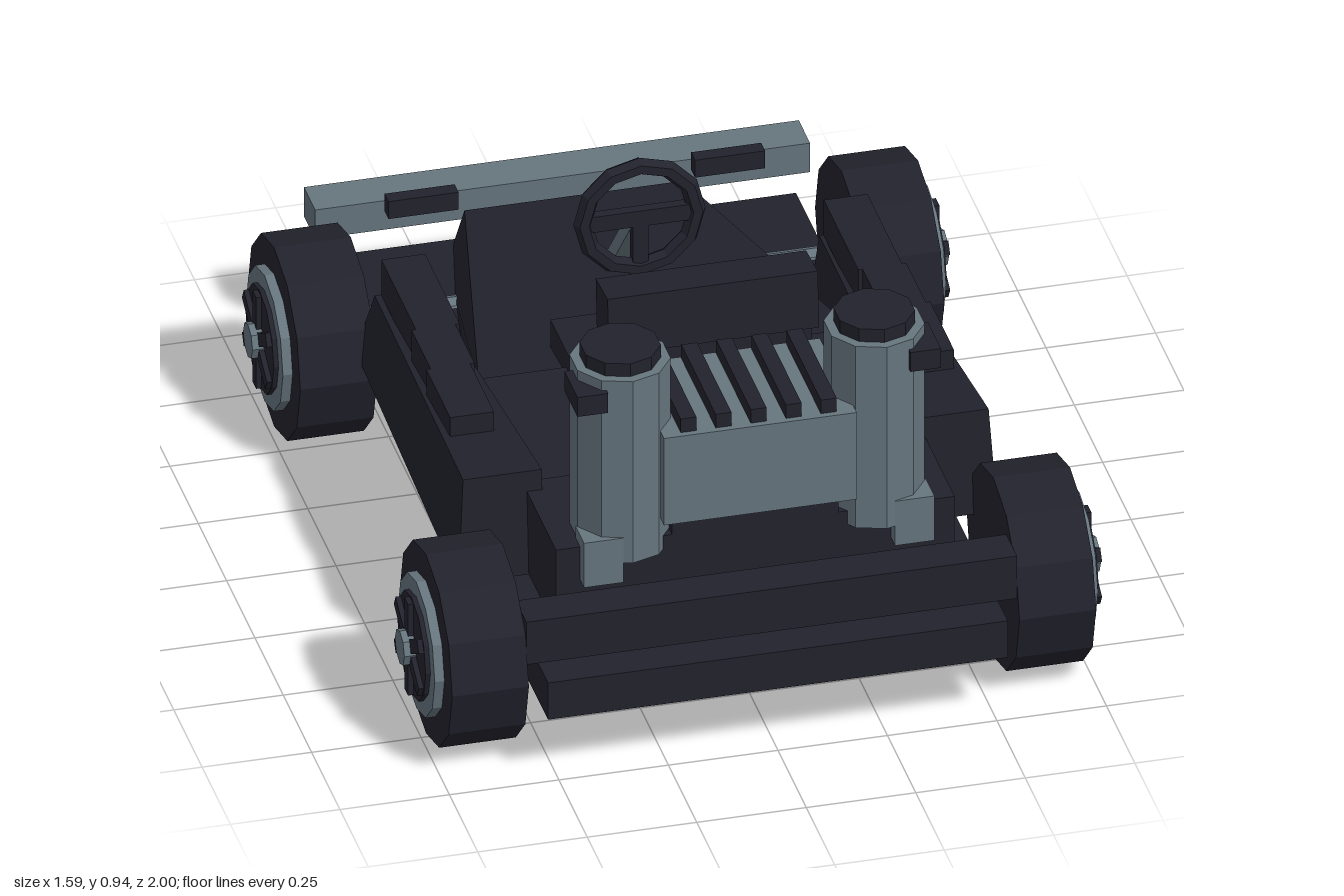
import * as THREE from 'three';

const dark = new THREE.MeshStandardMaterial({ color: 0x22222d, flatShading: true });
dark.name = 'charcoal';
const grey = new THREE.MeshStandardMaterial({ color: 0x66757e, flatShading: true });
grey.name = 'steel grey';

export function createModel() {
  const kart = new THREE.Group();
  kart.name = 'kart';

  const add = (name, geo, mat, parent = kart) => {
    const m = new THREE.Mesh(geo, mat);
    m.name = name;
    parent.add(m);
    return m;
  };
  // Box given by its limits on each axis
  const box = (name, mat, x0, x1, y0, y1, z0, z1, parent = kart) => {
    const m = add(name, new THREE.BoxGeometry(Math.abs(x1 - x0), y1 - y0, z1 - z0), mat, parent);
    m.position.set((x0 + x1) / 2, (y0 + y1) / 2, (z0 + z1) / 2);
    return m;
  };
  // Box whose eight corners are placed by a rule on their signs
  const shaped = (name, mat, rule) => {
    const geo = new THREE.BoxGeometry(2, 2, 2);
    const p = geo.attributes.position;
    for (let i = 0; i < p.count; i++) p.setXYZ(i, ...rule(p.getX(i), p.getY(i), p.getZ(i)));
    geo.computeVertexNormals();
    return add(name, geo, mat);
  };
  // Cylinder lying along x
  const axial = (name, mat, r, x0, x1, sides, parent) => {
    const m = add(name, new THREE.CylinderGeometry(r, r, Math.abs(x1 - x0), sides), mat, parent);
    m.rotation.z = Math.PI / 2;
    m.position.x = (x0 + x1) / 2;
    return m;
  };

  // Chassis and body
  box('floorPlate', dark, -0.525, 0.525, 0.16, 0.255, -0.87, 1);
  box('bumper', dark, -0.56, 0.56, 0.275, 0.385, 0.85, 0.945);
  box('bumperMount', dark, -0.455, 0.455, 0.265, 0.3, 0.78, 0.9);
  box('engineDeck', dark, -0.455, 0.455, 0.265, 0.47, 0.5, 0.8);
  box('cockpitDeck', dark, -0.43, 0.43, 0.265, 0.46, 0.04, 0.52);
  box('engineMount', dark, -0.19, 0.19, 0.46, 0.53, 0.52, 0.8);
  shaped('nose', dark, (x, y, z) => {
    if (z > 0) return [x * 0.43, y > 0 ? 0.44 : 0.18, 0.02];
    return y > 0 ? [x * 0.25, 0.37, -0.8] : [x * 0.27, 0.18, -0.885];
  });

  // Seat
  box('seatCushion', dark, -0.235, 0.235, 0.42, 0.5, -0.1, 0.44);
  shaped('seatBack', dark, (x, y, z) => [x * 0.225, y > 0 ? 0.85 : 0.46, (y > 0 ? 0.375 : 0.41) + z * 0.04]);
  const headrest = box('headrest', dark, -0.24, 0.24, 0.72, 0.86, 0.325, 0.43);
  headrest.rotation.x = -0.08;
  const pad = box('seatPad', dark, -0.15, 0.15, 0.58, 0.69, 0.343, 0.355);
  pad.rotation.x = -0.09;

  // Steering wheel and column
  const steering = new THREE.Group();
  steering.name = 'steeringWheel';
  steering.position.set(0, 0.66, -0.222);
  kart.add(steering);
  add('steeringRim', new THREE.TorusGeometry(0.13, 0.021, 6, 12), dark, steering);
  box('steeringSpoke', dark, -0.12, 0.12, -0.02, 0.02, -0.012, 0.012, steering);
  box('steeringLowerSpoke', dark, -0.018, 0.018, -0.12, 0, -0.012, 0.012, steering);
  const column = add('steeringColumn', new THREE.BoxGeometry(0.04, 0.36, 0.035), grey);
  column.position.set(0, 0.52, -0.345);
  column.rotation.x = Math.atan2(0.24, 0.27);

  // Engine block with cooling fins
  box('engineBlock', grey, -0.22, 0.22, 0.525, 0.75, 0.52, 0.845);
  for (let i = -2; i <= 2; i++) {
    box('coolingFin', dark, i * 0.08 - 0.018, i * 0.08 + 0.018, 0.745, 0.785, 0.525, 0.83);
  }

  // Push bar across the nose end
  box('noseBar', grey, -0.565, 0.565, 0.285, 0.36, -1, -0.9);

  for (const s of [1, -1]) {
    // Side pods with stepped pads
    shaped('sidePod', dark, (x, y, z) => {
      const outer = x === s;
      const top = y > 0;
      if (z > 0) return [s * (outer ? (top ? 0.6 : 0.615) : 0.42), top ? 0.52 : 0.265, top ? 0.54 : 0.56];
      return [s * (outer ? (top ? 0.565 : 0.59) : 0.45), top ? 0.45 : 0.265, top ? -0.375 : -0.45];
    });
    [[0.12, 0.33, 0.525], [-0.05, 0.12, 0.515], [-0.355, -0.05, 0.505]].forEach(([z0, z1, x]) =>
      box('podPad', dark, s * (x - 0.05), s * (x + 0.05), 0.46, 0.553, z0, z1));
    box('noseTab', dark, s * 0.27, s * 0.43, 0.39, 0.435, -0.81, -0.775);

    // Upright tanks beside the engine
    const tank = add('tank', new THREE.CylinderGeometry(0.112, 0.112, 0.47, 10), grey);
    tank.position.set(s * 0.29, 0.67, 0.728);
    const cap = add('tankCap', new THREE.CylinderGeometry(0.09, 0.09, 0.04, 10), dark);
    cap.position.set(s * 0.29, 0.918, 0.728);
    box('tankFoot', grey, s * 0.31, s * 0.4, 0.385, 0.5, 0.76, 0.835);
    box('tankClip', dark, s * 0.345, s * 0.415, 0.83, 0.88, 0.72, 0.835);

    // Wheels
    for (const z of [0.735, -0.605]) {
      const wheel = new THREE.Group();
      wheel.name = 'wheel';
      wheel.position.set(0, 0.232, z);
      kart.add(wheel);
      axial('tyre', dark, 0.232, s * 0.56, s * 0.735, 12, wheel);
      axial('rim', grey, 0.163, s * 0.7, s * 0.757, 12, wheel);
      axial('hubPlate', dark, 0.125, s * 0.72, s * 0.768, 12, wheel);
      axial('hub', grey, 0.042, s * 0.72, s * 0.795, 8, wheel);
      for (let k = 0; k < 3; k++) {
        const spoke = box('spoke', dark, s * 0.72, s * 0.78, -0.118, 0.118, -0.016, 0.016, wheel);
        spoke.rotation.x = (k * Math.PI) / 3;
      }
    }
  }

  // Axles
  for (const z of [0.735, -0.61]) {
    const axle = axial('axle', grey, 0.032, -0.57, 0.57, 8, kart);
    axle.position.set(0, 0.238, z);
  }

  return kart;
}
